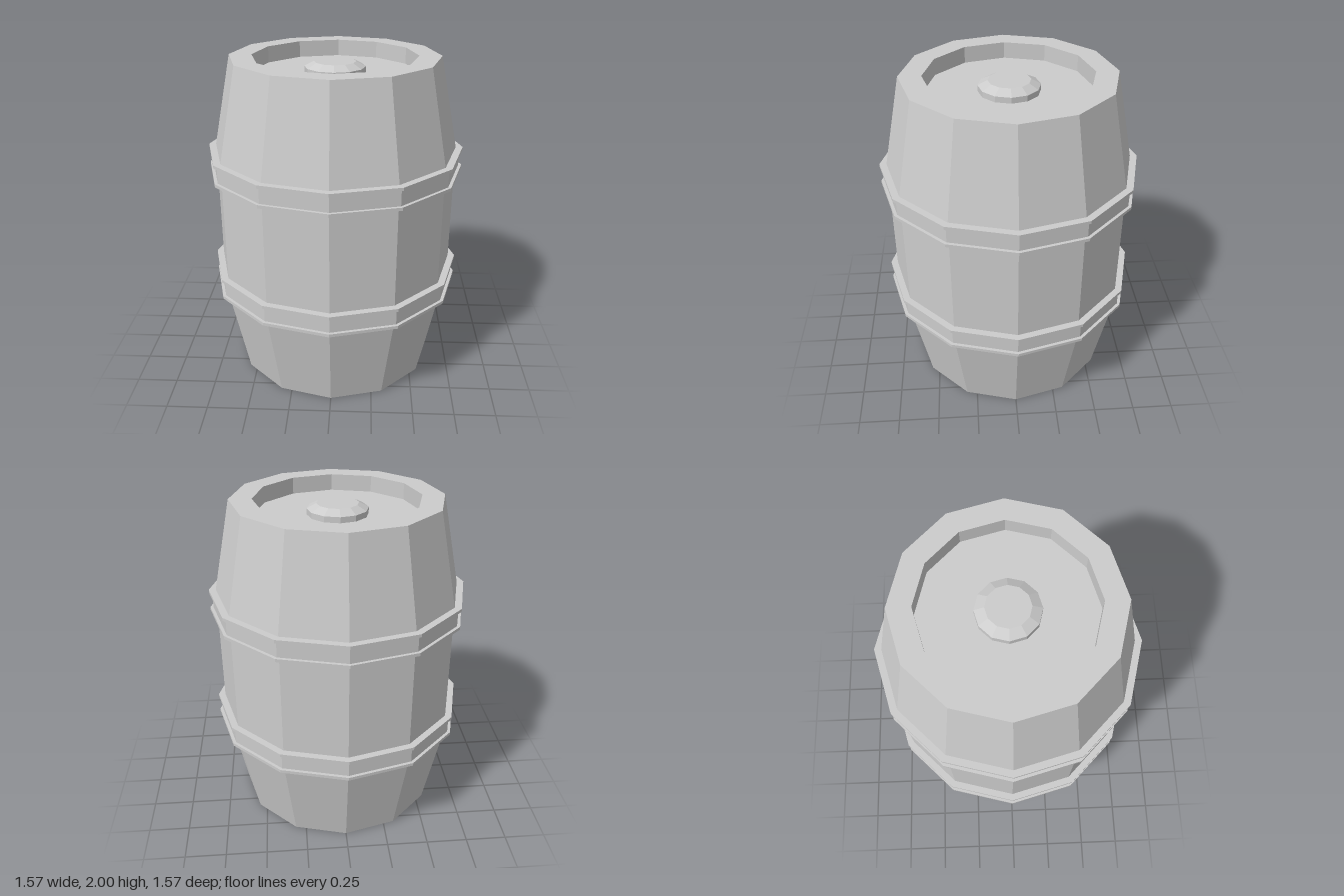
import * as THREE from 'three';

const SIDES = 12;
const material = new THREE.MeshStandardMaterial({ color: 0xcccccc, flatShading: true });

// Twelve-sided turned part from [radius, height] pairs, listed bottom to top on the outside
function turned(name, profile) {
  const points = profile.map(([r, y]) => new THREE.Vector2(r, y));
  const mesh = new THREE.Mesh(new THREE.LatheGeometry(points, SIDES), material);
  mesh.name = name;
  return mesh;
}

export function createModel() {
  const barrel = new THREE.Group();
  barrel.name = 'barrel';

  // Staved body with a recessed head at each end
  barrel.add(turned('body', [
    [0, 0.1], [0.495, 0.1], [0.495, 0], [0.63, 0],
    [0.745, 0.56], [0.745, 1.44],
    [0.63, 2], [0.495, 2], [0.495, 1.9], [0, 1.9],
  ]));

  // Hoops: a flat band with a thin flange along each edge
  const hoops = { lowerHoop: 0.625, upperHoop: 1.375 };
  for (const [name, y] of Object.entries(hoops)) {
    const hoop = turned(name, [
      [0.73, -0.067], [0.787, -0.067], [0.787, -0.048], [0.768, -0.048],
      [0.768, 0.048], [0.787, 0.048], [0.787, 0.067], [0.73, 0.067],
    ]);
    hoop.position.y = y;
    barrel.add(hoop);
  }

  // Bevelled bung in the middle of each head
  const bung = [[0.182, 0], [0.182, 0.035], [0.125, 0.065], [0, 0.065]];
  const topBung = turned('topBung', bung);
  topBung.position.y = 1.9;
  const bottomBung = turned('bottomBung', bung);
  bottomBung.rotation.x = Math.PI;
  bottomBung.position.y = 0.1;
  barrel.add(topBung, bottomBung);

  return barrel;
}
